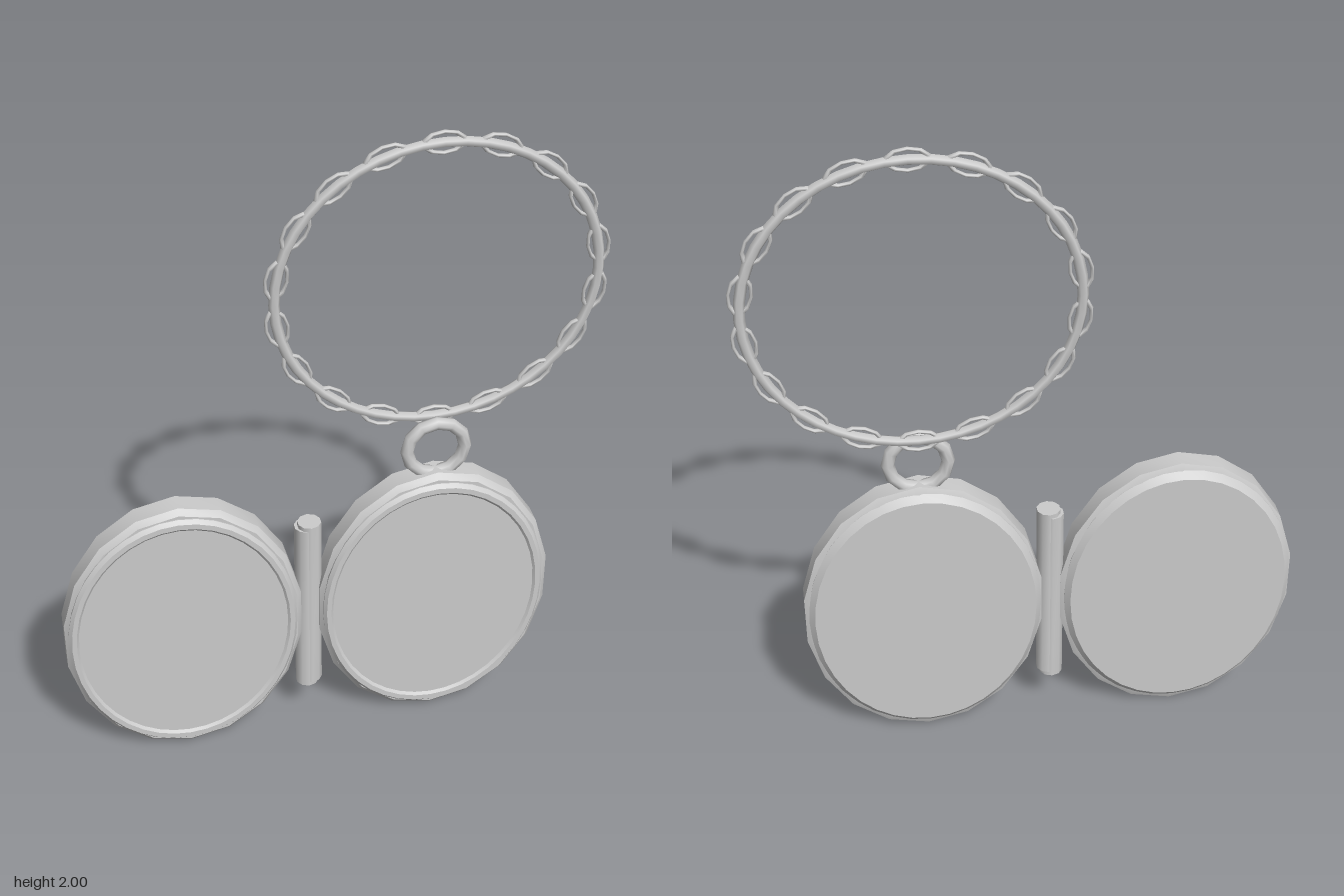
import * as THREE from 'three';
import { toCreasedNormals } from 'three/addons/utils/BufferGeometryUtils.js';

const grey = new THREE.MeshStandardMaterial({ color: 0xcccccc });

function add(parent, name, geometry, x = 0, y = 0, z = 0) {
  const mesh = new THREE.Mesh(geometry, grey);
  mesh.name = name;
  mesh.position.set(x, y, z);
  parent.add(mesh);
  return mesh;
}

// Oval solid turned around z from a profile of [radius, z] pairs, back to front
function oval(profile, sides, stretch) {
  const g = new THREE.LatheGeometry(profile.map(([r, z]) => new THREE.Vector2(r, z)), sides);
  g.rotateX(Math.PI / 2);
  g.scale(1, stretch, 1);
  return toCreasedNormals(g, 0.6);
}

// One half of the locket: coarse outer case, finer rim and recessed plate
function locketHalf(name, x) {
  const half = new THREE.Group();
  half.name = name;
  half.position.set(x, 0.46, 0);
  add(half, 'case', oval([
    [0, -0.045], [0.34, -0.045], [0.364, -0.032], [0.364, 0.028], [0.35, 0.043], [0, 0.043],
  ], 18, 1.264));
  add(half, 'backCover', oval([
    [0, -0.058], [0.335, -0.058], [0.352, -0.04], [0.352, 0], [0, 0],
  ], 36, 1.25), -0.004);
  add(half, 'frontRim', oval([
    [0.345, 0.02], [0.347, 0.046], [0.338, 0.057], [0.324, 0.057], [0.317, 0.05], [0, 0.05],
  ], 40, 1.245), -0.004);
  return half;
}

export function createModel() {
  const model = new THREE.Group();
  model.name = 'openLocket';

  model.add(locketHalf('rightLocketHalf', -0.456));
  model.add(locketHalf('leftLocketHalf', 0.318));

  // Hinge: two overlapping pins
  const hinge = new THREE.Group();
  hinge.name = 'hinge';
  const pin = toCreasedNormals(new THREE.CylinderGeometry(0.036, 0.036, 0.615, 10), 0.8);
  add(hinge, 'hingePin', pin, -0.074, 0.458, -0.006);
  add(hinge, 'hingeSleeve', pin, -0.064, 0.472, -0.004);
  model.add(hinge);

  // Hanging loop on the left half
  add(model, 'hangingLoop', new THREE.TorusGeometry(0.088, 0.02, 8, 12), 0.318, 0.988, -0.004);

  // Chain: continuous oval band with flat links spaced around it
  const chain = new THREE.Group();
  chain.name = 'chain';
  chain.position.set(0.316, 1.525, -0.034);
  const rx = 0.467, ry = 0.44;
  const band = new THREE.TorusGeometry(rx, 0.016, 6, 48);
  band.scale(1, ry / rx, 1);
  add(chain, 'chainBand', band);
  const link = new THREE.TorusGeometry(0.05, 0.008, 6, 10);
  link.scale(0.62, 1.12, 1);
  const count = 18;
  for (let i = 0; i < count; i++) {
    const a = ((i + 0.5) / count) * Math.PI * 2;
    const mesh = add(chain, 'chainLink', link, rx * Math.cos(a), ry * Math.sin(a), 0);
    mesh.rotation.z = Math.atan2(Math.sin(a) / ry, Math.cos(a) / rx);
  }
  model.add(chain);

  return model;
}
